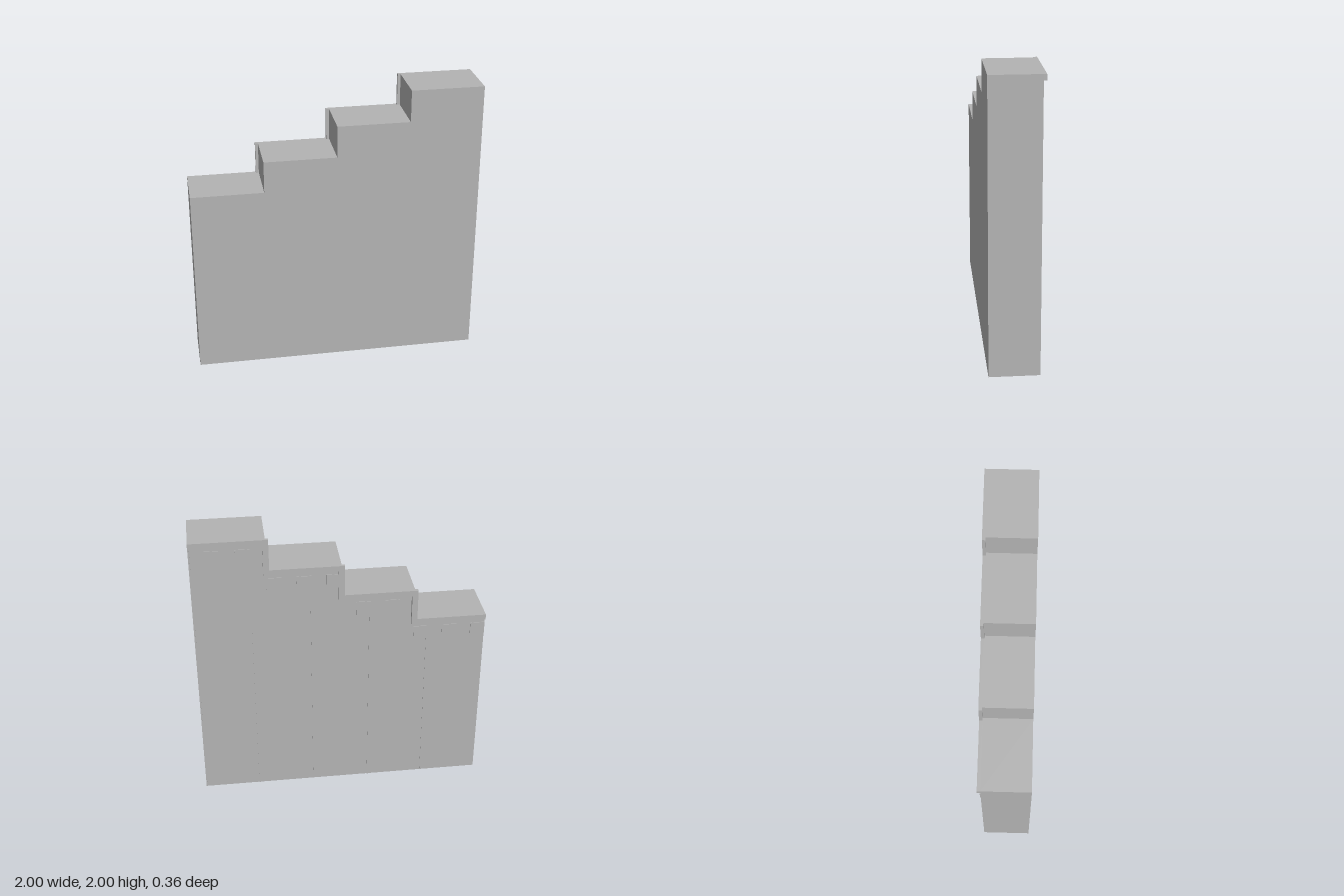
import * as THREE from 'three';

const STEPS = 4, STEP_W = 0.5, STEP_H = 0.2222, LOW = 1.3333;
const FRONT = 0.18, BACK = -0.157, TRIM_BACK = -0.18, TRIM_H = 0.04;

const stepTop = (i) => LOW + i * STEP_H;
const topAt = (x) => stepTop(Math.min(STEPS - 1, Math.floor((x + 1) / STEP_W)));

// stepped line from low end to high end; risers shifted by dx, treads by dy
function stepLine(dx, dy) {
  const pts = [];
  for (let i = 0; i < STEPS; i++) {
    pts.push(new THREE.Vector2(i === 0 ? -1 : -1 + i * STEP_W + dx, stepTop(i) + dy));
    pts.push(new THREE.Vector2(i === STEPS - 1 ? 1 : -1 + (i + 1) * STEP_W + dx, stepTop(i) + dy));
  }
  return pts;
}

export function createModel() {
  const group = new THREE.Group();
  group.name = 'steppedWall';
  const grey = new THREE.MeshStandardMaterial({ color: 0xb3b3b3 });
  grey.name = 'grey';

  const add = (name, geometry, x = 0, y = 0, z = 0) => {
    const mesh = new THREE.Mesh(geometry, grey);
    mesh.name = name;
    mesh.position.set(x, y, z);
    group.add(mesh);
  };
  const extrude = (pts, depth) =>
    new THREE.ExtrudeGeometry(new THREE.Shape(pts), { depth, bevelEnabled: false });

  // solid wall with a stepped top
  const wall = [new THREE.Vector2(1, 0), new THREE.Vector2(-1, 0), ...stepLine(0, 0)];
  add('wall', extrude(wall, FRONT - BACK), 0, 0, BACK);

  // raised coping that follows the steps along the back
  const coping = [...stepLine(-0.02, 0), ...stepLine(0.02, -TRIM_H).reverse()];
  add('coping', extrude(coping, BACK - TRIM_BACK), 0, 0, TRIM_BACK);

  // thin square plates below the coping
  for (let i = 0; i < 10; i++) {
    const left = 0.9 - i * 0.2;
    const right = left - 0.1;
    const top = topAt((left + right) / 2) - 0.07;
    add('plate', new THREE.BoxGeometry(0.1, 0.1, 0.005), (left + right) / 2, top - 0.05, BACK - 0.0025);
  }

  // narrow upright strips dividing the back into five panels
  for (let i = 0; i < 5; i++) {
    const x = 0.995 - i * 0.4 + (i > 0 ? 0.01 : 0);
    const h = topAt(x) - TRIM_H - (i > 0 ? 0.1 : 0);
    add('panelStrip', new THREE.BoxGeometry(0.01, h, 0.003), x, h / 2, BACK - 0.0015);
  }

  return group;
}
